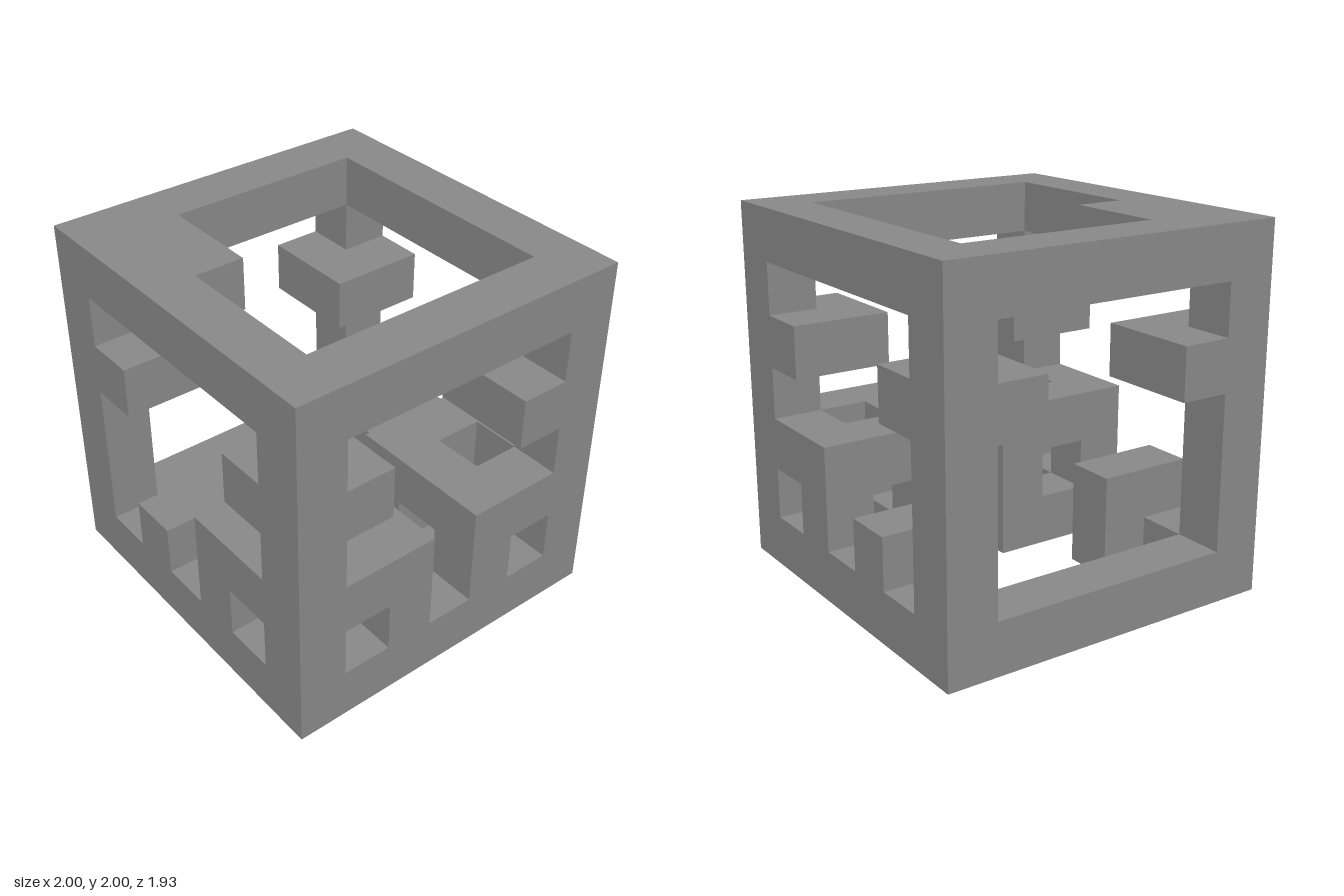
import * as THREE from 'three';

// Everything sits on a 7 x 7 x 7 cell lattice
const N = 7;
const CELL = new THREE.Vector3(2 / N, 2 / N, 1.927 / N);
const material = new THREE.MeshStandardMaterial({ color: 0x878787, flatShading: true });

// Box between two lattice corners, optionally mirrored in x or z
function addBlock(parent, name, [x0, y0, z0, x1, y1, z1], flipX = false, flipZ = false) {
  const geo = new THREE.BoxGeometry((x1 - x0) * CELL.x, (y1 - y0) * CELL.y, (z1 - z0) * CELL.z);
  const mesh = new THREE.Mesh(geo, material);
  mesh.name = name;
  const cx = (x0 + x1) / 2 - N / 2;
  const cz = (z0 + z1) / 2 - N / 2;
  mesh.position.set((flipX ? -cx : cx) * CELL.x, ((y0 + y1) / 2) * CELL.y, (flipZ ? -cz : cz) * CELL.z);
  parent.add(mesh);
}

function addGroup(parent, name) {
  const group = new THREE.Group();
  group.name = name;
  parent.add(group);
  return group;
}

export function createModel() {
  const model = new THREE.Group();
  model.name = 'latticeCube';

  // Outer frame: corner posts and the rails between them
  const frame = addGroup(model, 'outerFrame');
  for (const a of [0, 6]) {
    for (const b of [0, 6]) {
      addBlock(frame, 'cornerPost', [a, 0, b, a + 1, 7, b + 1]);
      addBlock(frame, 'crossRail', [1, a, b, 6, a + 1, b + 1]);
      addBlock(frame, 'sideRail', [a, b, 1, a + 1, b + 1, 6]);
    }
  }

  // Small hollow 3 x 3 x 3 cubes in the lower left corners; the frame supplies their outer edges
  const hollowCube = [
    [4, 0, 2, 6, 1, 3], [4, 0, 1, 5, 1, 2],                      // bottom bars
    [4, 1, 0, 5, 2, 1], [4, 1, 2, 5, 2, 3], [6, 1, 2, 7, 2, 3],  // uprights
    [4, 2, 0, 6, 3, 1], [4, 2, 2, 7, 3, 3],                      // top bars
    [4, 2, 1, 5, 3, 2], [6, 2, 1, 7, 3, 2],
  ];

  for (const flipZ of [false, true]) {
    const end = flipZ ? 'front' : 'back';

    const cube = addGroup(model, end + 'HollowCube');
    for (const bar of hollowCube) addBlock(cube, 'cubeBar', bar, false, flipZ);

    // Stepped block standing on the lower rail
    const step = addGroup(model, end + 'RailBlock');
    addBlock(step, 'blockOnRail', [2, 1, 0, 3, 2, 1], false, flipZ);
    addBlock(step, 'innerBlock', [2, 0, 1, 3, 2, 2], false, flipZ);

    // Lugs wrapped around the inside of each post
    for (const flipX of [false, true]) {
      const lug = addGroup(model, end + (flipX ? 'Left' : 'Right') + 'Lug');
      addBlock(lug, 'lugBody', [1, 4, 0, 2, 5, 2], flipX, flipZ);
      addBlock(lug, 'lugSide', [0, 4, 1, 1, 5, 2], flipX, flipZ);
    }
  }

  // Tab filling one inner corner of the top opening
  addBlock(model, 'topTab', [1, 6, 5, 3, 7, 6]);

  return model;
}
